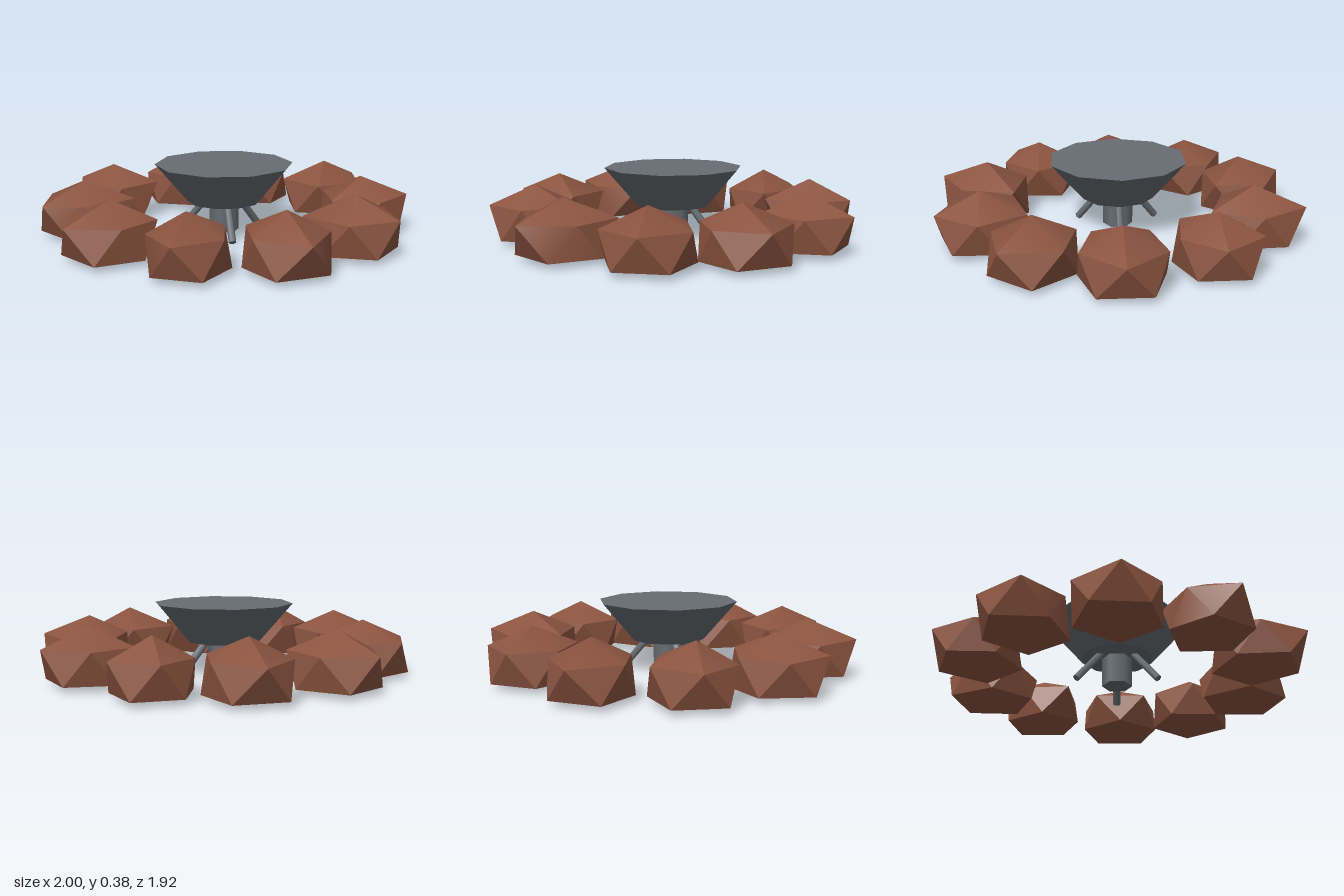
import * as THREE from 'three';
import { toCreasedNormals } from 'three/addons/utils/BufferGeometryUtils.js';

const rockBrown = new THREE.MeshStandardMaterial({ color: 0x8b5440 });
const ironGrey = new THREE.MeshStandardMaterial({ color: 0x666d73 });
rockBrown.name = 'rockBrown';
ironGrey.name = 'ironGrey';

// Each stone: centre x, centre z, turn in degrees, five corner radii
const STONES = [
  [0.75, 0.01, 0, 0.25, 0.22, 0.24, 0.24, 0.22],
  [0.59, 0.43, 36, 0.26, 0.21, 0.22, 0.22, 0.25],
  [0.24, 0.70, 0, 0.23, 0.24, 0.23, 0.26, 0.25],
  [-0.23, 0.70, 37, 0.21, 0.27, 0.21, 0.22, 0.27],
  [-0.60, 0.42, 1, 0.23, 0.21, 0.24, 0.19, 0.23],
  [-0.74, 0, 36, 0.23, 0.20, 0.26, 0.24, 0.25],
  [-0.60, -0.45, 36, 0.26, 0.20, 0.26, 0.24, 0.21],
  [-0.25, -0.71, 39, 0.25, 0.20, 0.20, 0.25, 0.23],
  [0.24, -0.70, 67, 0.25, 0.21, 0.21, 0.27, 0.21],
  [0.61, -0.45, 69, 0.20, 0.25, 0.20, 0.23, 0.23],
];

// Twenty-faced stone: peak, five upper corners, five lower corners, flat base
function stoneGeometry(turn, radii) {
  const point = (degrees, r, y) => {
    const a = THREE.MathUtils.degToRad(degrees);
    return [Math.cos(a) * r, y, Math.sin(a) * r];
  };
  const upper = radii.map((r, k) => point(turn + 72 * k, r, 0.2));
  const lower = radii.map((r, k) =>
    point(turn + 72 * k + 36, 0.485 * (r + radii[(k + 1) % 5]), 0.03));
  const peak = [0, 0.305, 0];
  const base = [0, 0.022, 0];
  const corners = [];
  for (let k = 0; k < 5; k++) {
    const n = (k + 1) % 5;
    corners.push(
      peak, upper[n], upper[k],
      upper[k], upper[n], lower[k],
      lower[k], upper[n], lower[n],
      lower[k], lower[n], base,
    );
  }
  const geometry = new THREE.BufferGeometry();
  geometry.setAttribute('position', new THREE.Float32BufferAttribute(corners.flat(), 3));
  return toCreasedNormals(geometry, 0.6);
}

// Straight six-sided bar between two points
function bar(from, to, radius) {
  const direction = to.clone().sub(from);
  const mesh = new THREE.Mesh(
    new THREE.CylinderGeometry(radius, radius, direction.length(), 6), ironGrey);
  mesh.position.copy(from).add(to).multiplyScalar(0.5);
  mesh.quaternion.setFromUnitVectors(new THREE.Vector3(0, 1, 0), direction.normalize());
  return mesh;
}

export function createModel() {
  const model = new THREE.Group();
  model.name = 'firePit';

  // Ring of stones
  const ring = new THREE.Group();
  ring.name = 'stoneRing';
  for (const [x, z, turn, ...radii] of STONES) {
    const stone = new THREE.Mesh(stoneGeometry(turn, radii), rockBrown);
    stone.name = 'stone';
    stone.position.set(x, 0, z);
    ring.add(stone);
  }
  model.add(ring);

  // Brazier in the middle
  const brazier = new THREE.Group();
  brazier.name = 'brazier';
  brazier.position.set(-0.005, 0, -0.012);
  model.add(brazier);

  const bowl = new THREE.Mesh(new THREE.CylinderGeometry(0.37, 0.195, 0.205, 10), ironGrey);
  bowl.name = 'bowl';
  bowl.position.y = 0.2825;
  bowl.rotation.y = Math.PI / 10;
  brazier.add(bowl);

  const post = new THREE.Mesh(new THREE.CylinderGeometry(0.08, 0.08, 0.18, 6), ironGrey);
  post.name = 'post';
  post.position.y = 0.11;
  brazier.add(post);

  // Three splayed legs
  for (let i = 0; i < 3; i++) {
    const a = (i * Math.PI * 2) / 3;
    const at = (r, y) => new THREE.Vector3(Math.cos(a) * r, y, Math.sin(a) * r);
    const leg = bar(at(0.09, 0.2), at(0.245, 0.014), 0.02);
    leg.name = 'leg';
    brazier.add(leg);
  }
  return model;
}
